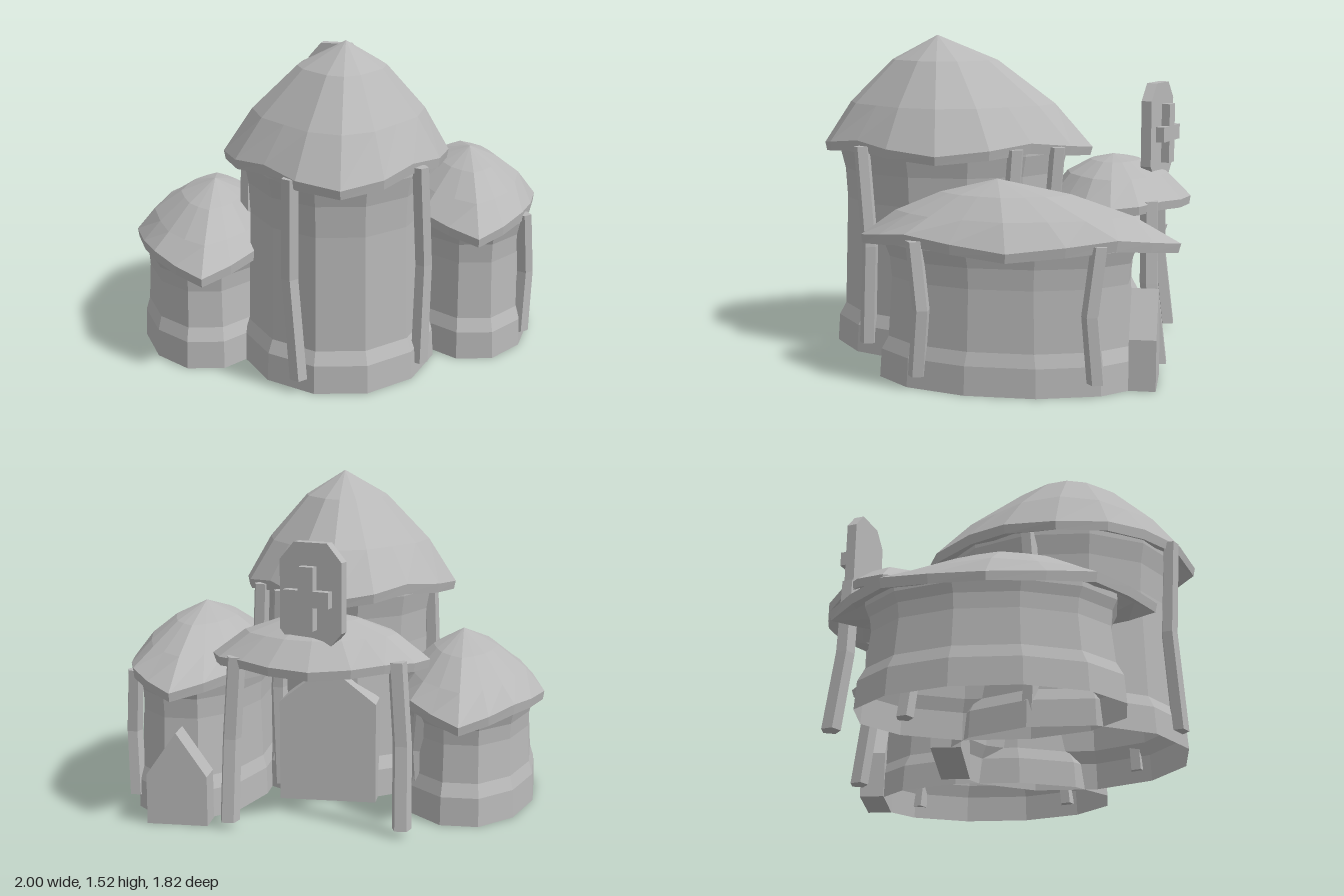
import * as THREE from 'three';

const plaster = new THREE.MeshStandardMaterial({ color: 0xb8b8b8, flatShading: true, side: THREE.DoubleSide });
plaster.name = 'plain grey';

function add(group, geometry, name) {
  const mesh = new THREE.Mesh(geometry, plaster);
  mesh.name = name;
  group.add(mesh);
  return mesh;
}

// Skins a stack of oval rings, listed [scale, y, wave]; pinch scales the corners in turn.
function loft(rings, { cx, cz, rx, rz, leanX = 0, leanZ = 0, sides = 16, turn = 0, pinch = [1] }) {
  const pos = [], index = [];
  for (const [f, y, wave = 0] of rings) {
    for (let j = 0; j < sides; j++) {
      const a = ((j + turn) / sides) * Math.PI * 2;
      const k = f * pinch[j % pinch.length];
      pos.push(cx + leanX * (1 - f) + rx * k * Math.sin(a), y - wave * Math.cos(4 * a),
        cz + leanZ * (1 - f) + rz * k * Math.cos(a));
    }
  }
  for (let i = 0; i < rings.length - 1; i++) {
    for (let j = 0; j < sides; j++) {
      const n = (j + 1) % sides;
      const a = i * sides + j, b = i * sides + n, c = b + sides, d = a + sides;
      index.push(a, b, c);
      if (rings[i + 1][0] > 0) index.push(a, c, d);
    }
  }
  const g = new THREE.BufferGeometry();
  g.setAttribute('position', new THREE.Float32BufferAttribute(pos, 3));
  g.setIndex(index);
  const flat = g.toNonIndexed();
  flat.computeVertexNormals();
  return flat;
}

// Pole with a bow at mid height.
function post(group, [x0, y0, z0], [x1, y1, z1], r, bowX, bowZ, name) {
  const g = new THREE.CylinderGeometry(r, r * 1.05, 1, 5, 2);
  const p = g.attributes.position;
  for (let i = 0; i < p.count; i++) {
    const t = p.getY(i) + 0.5, bow = 1 - Math.abs(2 * t - 1);
    p.setXYZ(i, p.getX(i) + x0 + (x1 - x0) * t + bowX * bow, y0 + (y1 - y0) * t,
      p.getZ(i) + z0 + (z1 - z0) * t + bowZ * bow);
  }
  g.computeVertexNormals();
  add(group, g, name);
}

function prism(points, depth) {
  const s = new THREE.Shape(points.map(([x, y]) => new THREE.Vector2(x, y)));
  return new THREE.ExtrudeGeometry(s, { depth, bevelEnabled: false }).translate(0, 0, -depth / 2);
}

// Gabled doorway block
const doorway = (w, side, peak, depth) =>
  prism([[-w / 2, 0], [w / 2, 0], [w / 2, side], [0, peak], [-w / 2, side]], depth);

function hut(root, name, { wall, roof, eave, tiers, top, posts }) {
  const g = new THREE.Group();
  g.name = name;
  // Open-bottomed plinth, wall and flared wall head
  add(g, loft([[1, 0], [0.985, 0.13], [0.93, 0.19], [0.9, eave * 0.75],
    [0.915, eave * 0.9], [0.955, eave], [0.955, eave + 0.04]], { ...wall, sides: 12, turn: 0.5 }), 'wall');
  // Thatched roof with a wavy thick eave
  add(g, loft([[0.85, eave + 0.03], [0.985, eave - 0.005, 0.02], [1, eave + 0.04, 0.024],
    ...tiers, [0, top]], roof), 'roof');
  for (const [x, z, tx, tz] of posts) {
    post(g, [x, 0.06, z], [tx, eave + 0.04, tz], 0.039,
      0.02 * Math.sign(x - wall.cx), -0.03 * Math.sign(z - wall.cz), 'wallPost');
  }
  root.add(g);
}

export function createModel() {
  const root = new THREE.Group();
  root.name = 'hutCluster';
  const lens = [1, 0.91, 0.91, 0.91];

  hut(root, 'mainHut', {
    wall: { cx: -0.01, cz: 0.245, rx: 0.47, rz: 0.595 },
    roof: { cx: -0.015, cz: 0.235, rx: 0.53, rz: 0.673, leanX: 0.042, leanZ: 0.085, pinch: [1, 0.95, 0.88, 0.95] },
    eave: 0.965, tiers: [[0.76, 1.19], [0.39, 1.4]], top: 1.52,
    posts: [[-0.2, 0.78, -0.23, 0.78], [0.36, 0.6, 0.35, 0.62],
      [-0.42, 0.1, -0.43, 0.1], [0.38, -0.12, 0.37, -0.12], [0.24, -0.29, 0.24, -0.3]],
  });
  hut(root, 'leftHut', {
    wall: { cx: 0.637, cz: -0.14, rx: 0.333, rz: 0.61 },
    roof: { cx: 0.63, cz: -0.17, rx: 0.37, rz: 0.725, leanX: 0.025, leanZ: 0.09, pinch: lens },
    eave: 0.62, tiers: [[0.74, 0.755], [0.41, 0.845]], top: 0.91,
    posts: [[0.885, 0.24, 0.88, 0.25], [0.89, -0.55, 0.88, -0.56]],
  });
  hut(root, 'rightHut', {
    wall: { cx: -0.635, cz: -0.05, rx: 0.336, rz: 0.6 },
    roof: { cx: -0.633, cz: -0.05, rx: 0.367, rz: 0.73, leanX: 0.03, leanZ: 0.08, pinch: lens },
    eave: 0.485, tiers: [[0.77, 0.61], [0.43, 0.71]], top: 0.785,
    posts: [[-0.45, -0.45, -0.45, -0.46]],
  });

  // Open rear porch: canopy on two poles
  const porch = new THREE.Group();
  porch.name = 'porch';
  add(porch, loft([[0.88, 0.755], [0.985, 0.725, 0.008], [1, 0.765, 0.008],
    [0.7, 0.87], [0.35, 0.93], [0, 0.955]],
    { cx: 0.007, cz: -0.57, rx: 0.498, rz: 0.345, leanZ: 0.03, pinch: [1, 0.96, 0.91, 0.96] }), 'canopy');
  for (const s of [-1, 1])
    post(porch, [s * 0.39, 0.03, -0.79], [s * 0.36, 0.78, -0.74], 0.044, s * 0.01, 0.02, 'porchPost');
  add(porch, doorway(0.46, 0.48, 0.66, 0.14), 'mainDoorway').position.set(0.01, 0, -0.29);
  root.add(porch);

  add(root, doorway(0.28, 0.23, 0.43, 0.12), 'sideDoorway').position.set(0.63, 0, -0.74);

  // Sign board with a raised cross, turned slightly
  const sign = new THREE.Group();
  sign.name = 'sign';
  add(sign, prism([[-0.09, -0.23], [0.09, -0.23], [0.15, -0.16], [0.15, 0.15],
    [0.08, 0.23], [-0.08, 0.23], [-0.15, 0.15], [-0.15, -0.16]], 0.05), 'signBoard');
  const a = 0.036, w = 0.11, h = 0.14;
  add(sign, prism([[-a, -h], [a, -h], [a, -a], [w, -a], [w, a], [a, a], [a, h], [-a, h],
    [-a, a], [-w, a], [-w, -a], [-a, -a]], 0.04), 'signCross').position.set(0, -0.01, -0.055);
  sign.position.set(0.01, 1.07, -0.75);
  sign.rotation.y = -0.3;
  root.add(sign);

  return root;
}
